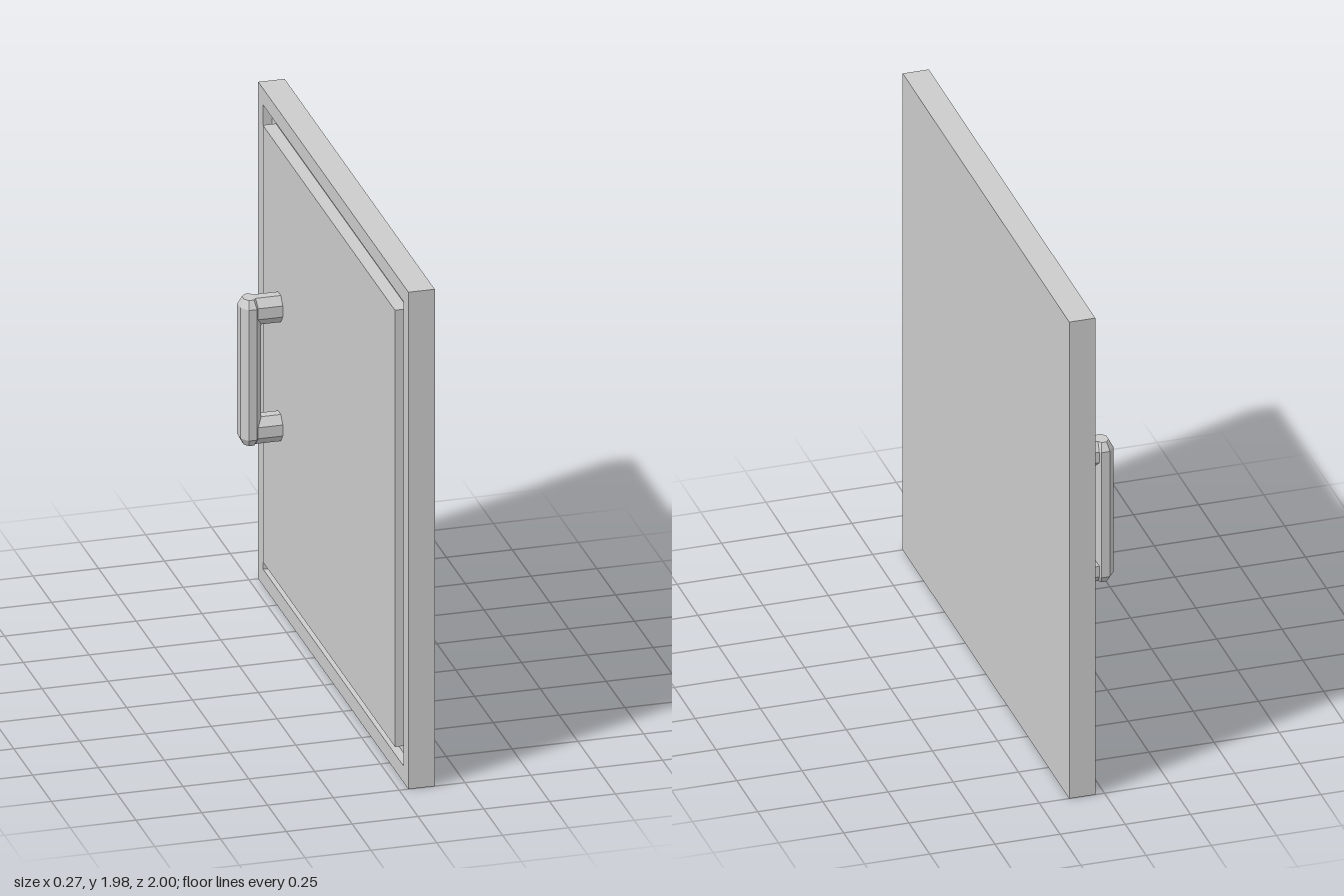
import * as THREE from 'three';

const material = new THREE.MeshStandardMaterial({ color: 0xcccccc, flatShading: true });

const HEIGHT = 1.98, MID = HEIGHT / 2, DEPTH = 2;
const BACK = 0.135, FLOOR = 0.068, FACE = 0.035, PANEL = 0.018; // layers along x
const HANDLE_Z = -0.658;

function add(group, name, geometry, x, y, z) {
  const mesh = new THREE.Mesh(geometry, material);
  mesh.name = name;
  mesh.position.set(x, y, z);
  group.add(mesh);
  return mesh;
}

// Box spanning x0..x1, centred on the door
function slab(group, name, x0, x1, height, depth) {
  add(group, name, new THREE.BoxGeometry(x1 - x0, height, depth), (x0 + x1) / 2, MID, 0);
}

function rectangle(path, w, h) {
  path.moveTo(-w / 2, -h / 2);
  path.lineTo(w / 2, -h / 2);
  path.lineTo(w / 2, h / 2);
  path.lineTo(-w / 2, h / 2);
  path.closePath();
  return path;
}

// Upright eight-sided bar with flats facing the axes and bevelled ends
function octagonBar(width, depth, length, bevel, endScale) {
  const r = 0.5 / Math.cos(Math.PI / 8), h = length / 2;
  const profile = [[0, -h], [r * endScale, -h], [r, -h + bevel], [r, h - bevel], [r * endScale, h], [0, h]]
    .map(([x, y]) => new THREE.Vector2(x, y));
  const geometry = new THREE.LatheGeometry(profile, 8);
  geometry.rotateY(Math.PI / 8);
  geometry.scale(width, 1, depth);
  return geometry;
}

export function createModel() {
  const door = new THREE.Group();
  door.name = 'cabinetDoor';

  // Backing board, raised rim around the groove, and proud centre panel
  slab(door, 'backBoard', FLOOR, BACK, HEIGHT, DEPTH);
  const rim = rectangle(new THREE.Shape(), DEPTH, HEIGHT);
  rim.holes.push(rectangle(new THREE.Path(), DEPTH - 0.13, HEIGHT - 0.13));
  const rimGeometry = new THREE.ExtrudeGeometry(rim, { depth: FLOOR - FACE, bevelEnabled: false });
  rimGeometry.rotateY(Math.PI / 2);
  add(door, 'rim', rimGeometry, FACE, MID, 0);
  slab(door, 'centrePanel', PANEL, FLOOR, 1.74, 1.76);

  // Pull handle: upright grip on two arms
  const handle = new THREE.Group();
  handle.name = 'handle';
  door.add(handle);
  add(handle, 'grip', octagonBar(0.077, 0.106, 0.58, 0.03, 0.6), -0.0975, 0.992, HANDLE_Z);
  for (const side of [-1, 1]) {
    const arm = new THREE.CylinderGeometry(0.5 / Math.cos(Math.PI / 8), 0.5 / Math.cos(Math.PI / 8), 0.125, 8);
    arm.rotateY(Math.PI / 8);
    arm.rotateZ(Math.PI / 2);
    arm.scale(1, 0.106, 0.09);
    add(handle, side > 0 ? 'upperArm' : 'lowerArm', arm, -0.0395, 0.992 + side * 0.237, HANDLE_Z);
  }
  return door;
}
